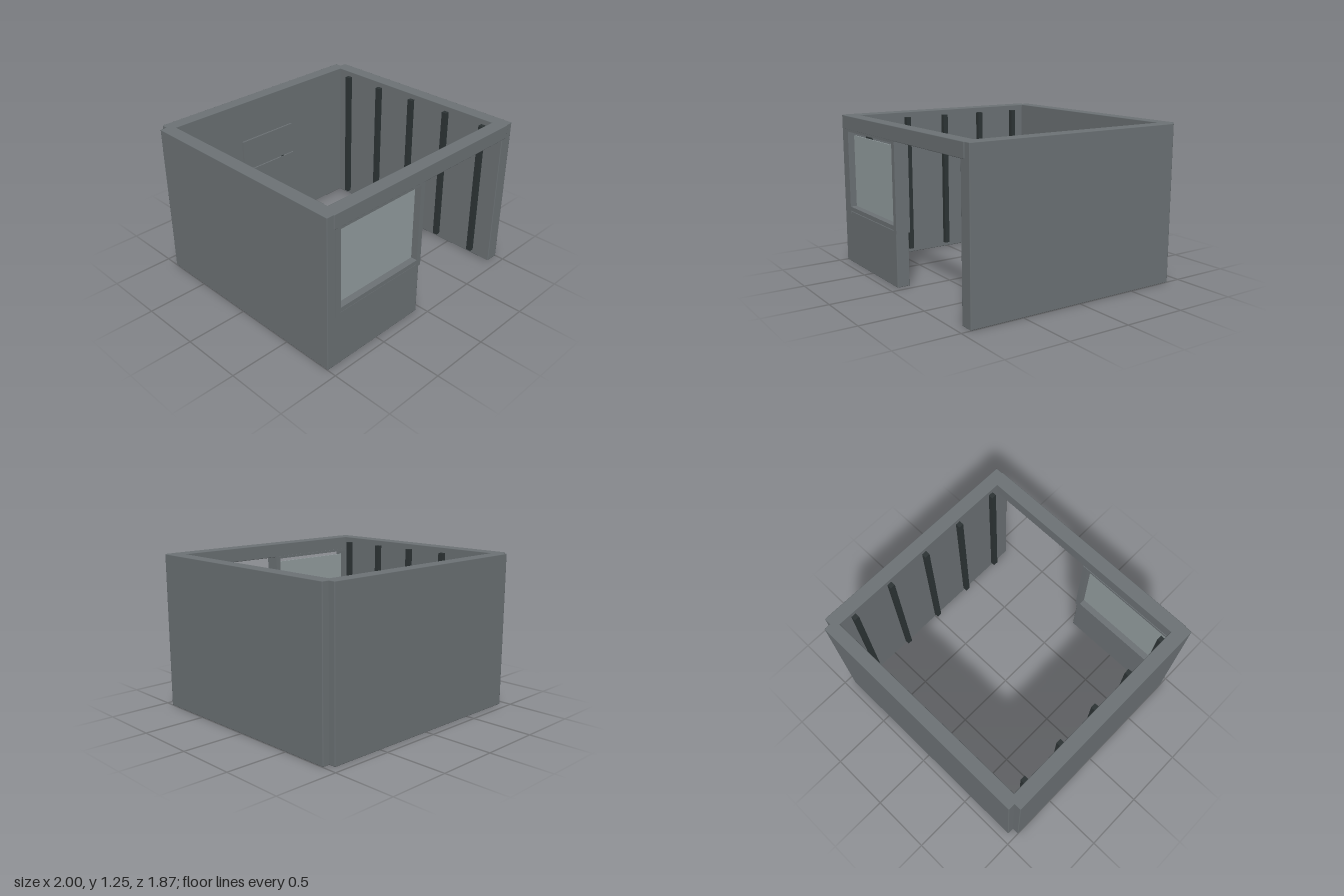
import * as THREE from 'three';
import { RoundedBoxGeometry } from 'three/addons/geometries/RoundedBoxGeometry.js';

const wall = new THREE.MeshStandardMaterial({ name: 'slate grey', color: 0x6c7275 });
const dark = new THREE.MeshStandardMaterial({ name: 'charcoal', color: 0x2d3435 });
const pane = new THREE.MeshStandardMaterial({ name: 'pale glass grey', color: 0x949ea0 });

export function createModel() {
  const model = new THREE.Group();
  model.name = 'openBooth';

  // Box given by its min and max on each axis, with optional softened edges
  function box(name, material, [x0, x1], [y0, y1], [z0, z1], bevel = 0) {
    const size = [x1 - x0, y1 - y0, z1 - z0];
    const geometry = bevel
      ? new RoundedBoxGeometry(...size, 1, bevel)
      : new THREE.BoxGeometry(...size);
    const mesh = new THREE.Mesh(geometry, material);
    mesh.name = name;
    mesh.position.set((x0 + x1) / 2, (y0 + y1) / 2, (z0 + z1) / 2);
    model.add(mesh);
    return mesh;
  }

  const H = 1.245;
  const soft = 0.006;

  // Side walls with a row of slim studs on the inner faces
  for (const [side, s] of [['left', 1], ['right', -1]]) {
    const span = (a, b) => (s > 0 ? [a, b] : [-b, -a]);
    box(side + 'Wall', wall, span(0.89, 1), [0, H], [-0.88, 0.926], soft);
    for (let i = 0; i < 5; i++) {
      const z = -0.705 + i * 0.3625;
      box(side + 'Stud', dark, span(0.852, 0.892), [0.04, 1.2], [z - 0.021, z + 0.021]);
    }
  }

  // Back wall, front top beam and low front wall
  box('backWall', wall, [-0.943, 0.943], [0, H], [-0.935, -0.83], soft);
  box('frontBeam', wall, [-0.943, 0.943], [1.13, H], [0.82, 0.932], soft);
  box('lowFrontWall', wall, [-1, -0.053], [0, 0.446], [0.82, 0.926], soft);

  // Window frame: short legs lap over the low wall, with a rectangular opening
  const outline = new THREE.Shape([
    [-0.93, 0.425], [-0.88, 0.425], [-0.88, 0.45], [-0.085, 0.45],
    [-0.085, 0.425], [-0.042, 0.425], [-0.042, 1.135], [-0.93, 1.135],
  ].map(([x, y]) => new THREE.Vector2(x, y)));
  outline.holes.push(new THREE.Path([
    [-0.88, 0.485], [-0.88, 1.115], [-0.085, 1.115], [-0.085, 0.485],
  ].map(([x, y]) => new THREE.Vector2(x, y))));
  const frame = new THREE.Mesh(
    new THREE.ExtrudeGeometry(outline, { depth: 0.116, bevelEnabled: false }), wall);
  frame.name = 'windowFrame';
  frame.position.z = 0.815;
  model.add(frame);

  // Pane stops short of the frame head, leaving a vent slot
  box('windowPane', pane, [-0.88, -0.085], [0.485, 1.08], [0.867, 0.877]);

  // Board on the back wall with a narrow tray and a small marker
  box('wallBoard', wall, [-0.272, 0.272], [0.625, 0.905], [-0.832, -0.815]);
  box('boardTray', wall, [-0.272, 0.272], [0.625, 0.634], [-0.816, -0.803]);
  box('marker', dark, [0.13, 0.165], [0.634, 0.638], [-0.813, -0.808]);

  return model;
}
